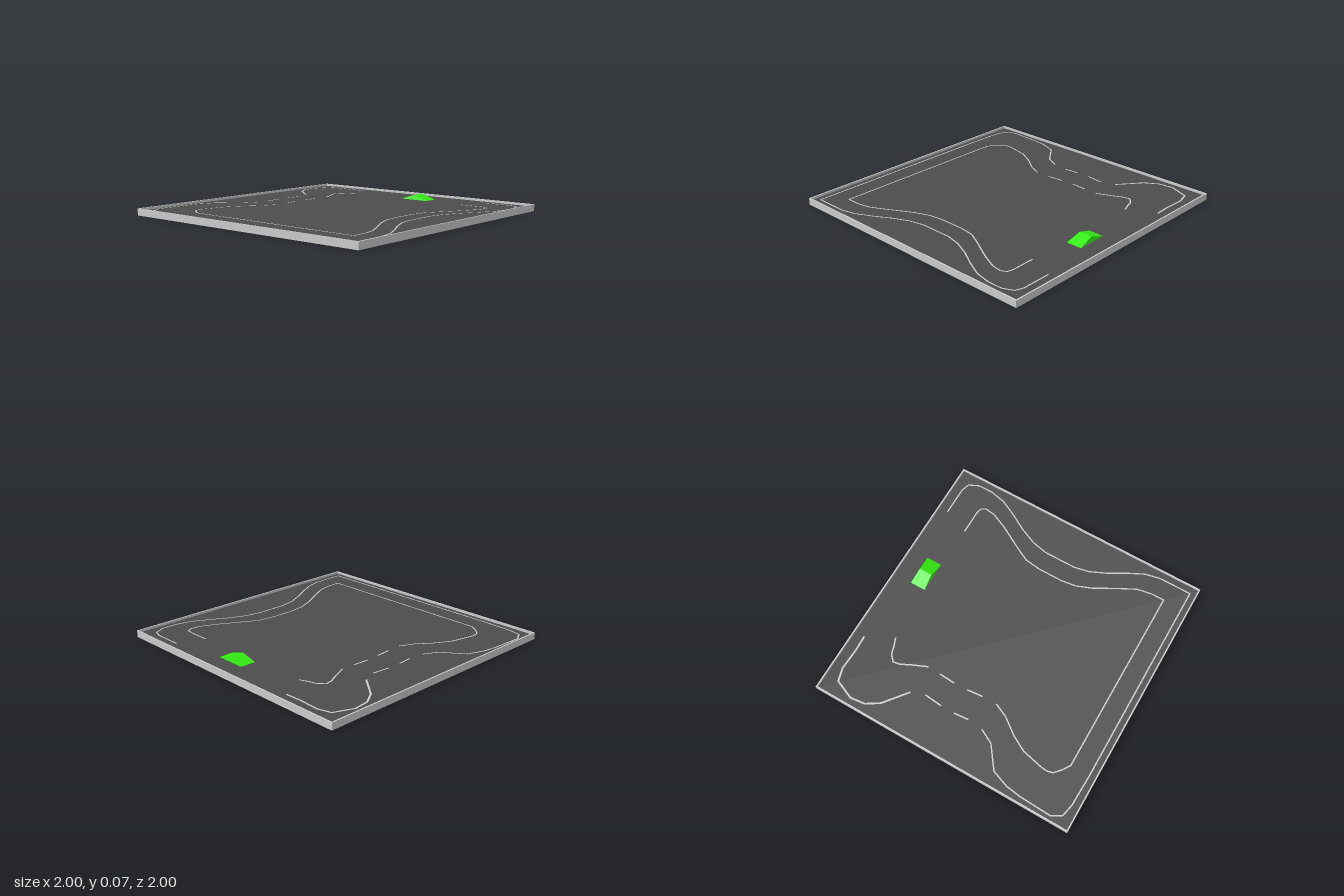
import * as THREE from 'three';

const FLOOR = 0.033, HEIGHT = 0.05, RIM = 0.01;

const material = (color, extra = {}) => new THREE.MeshStandardMaterial({ color, ...extra });

function add(parent, name, geometry, mat) {
  const mesh = new THREE.Mesh(geometry, mat);
  mesh.name = name;
  parent.add(mesh);
  return mesh;
}

// Flat mitred strip following [x, z] points along the floor
function ribbon(points, width) {
  const pts = points.map(([x, z]) => new THREE.Vector2(x, z));
  const pos = [], index = [];
  pts.forEach((p, i) => {
    const a = pts[Math.max(i - 1, 0)], b = pts[Math.min(i + 1, pts.length - 1)];
    const d1 = (i > 0 ? p.clone().sub(a) : b.clone().sub(p)).normalize();
    const d2 = (i < pts.length - 1 ? b.clone().sub(p) : d1.clone()).normalize();
    const n1 = new THREE.Vector2(-d1.y, d1.x);
    const n = n1.clone().add(new THREE.Vector2(-d2.y, d2.x)).normalize();
    n.multiplyScalar(width / 2 / n.dot(n1));
    pos.push(p.x + n.x, 0, p.y + n.y, p.x - n.x, 0, p.y - n.y);
    const k = i * 2;
    if (i < pts.length - 1) index.push(k, k + 2, k + 1, k + 1, k + 2, k + 3);
  });
  const g = new THREE.BufferGeometry();
  g.setAttribute('position', new THREE.Float32BufferAttribute(pos, 3));
  g.setIndex(index);
  g.computeVertexNormals();
  return g;
}

// Low double-sloped ramp: its gable profile is extruded and the ridge narrowed
function rampGeometry(width, length, height) {
  const half = length / 2;
  const profile = new THREE.Shape([
    new THREE.Vector2(-half, 0), new THREE.Vector2(half, 0), new THREE.Vector2(0, height),
  ]);
  const g = new THREE.ExtrudeGeometry(profile, { depth: width, bevelEnabled: false });
  g.translate(0, 0, -width / 2);
  g.rotateY(Math.PI / 2);
  const p = g.attributes.position;
  for (let i = 0; i < p.count; i++) {
    if (p.getY(i) > height / 2) p.setX(i, p.getX(i) * 0.84);
  }
  g.computeVertexNormals();
  return g;
}

export function createModel() {
  const model = new THREE.Group();
  model.name = 'trackBoard';
  const grey = material(0xcccccc);

  // Shallow tray: base slab, raised rim and dark floor
  const base = add(model, 'base', new THREE.BoxGeometry(2, FLOOR - 0.002, 2), grey);
  base.position.y = (FLOOR - 0.002) / 2;

  const square = (h) => [[-h, -h], [h, -h], [h, h], [-h, h]].map(([x, y]) => new THREE.Vector2(x, y));
  const rimShape = new THREE.Shape(square(1));
  rimShape.holes.push(new THREE.Path(square(1 - RIM)));
  const rimHeight = HEIGHT - FLOOR + 0.002;
  const rimGeometry = new THREE.ExtrudeGeometry(rimShape, { depth: rimHeight, bevelEnabled: false });
  rimGeometry.rotateX(-Math.PI / 2);
  add(model, 'rim', rimGeometry, grey).position.y = FLOOR - 0.002;

  const floor = new THREE.PlaneGeometry(2 - 2 * RIM, 2 - 2 * RIM).rotateX(-Math.PI / 2);
  add(model, 'floor', floor, material(0x4d4d4d)).position.y = FLOOR;

  // Painted lane edges
  const lanes = new THREE.Group();
  lanes.name = 'laneLines';
  lanes.position.y = FLOOR + 0.002;
  model.add(lanes);

  const outerLane = [
    [-0.155, -0.68], [-0.26, -0.735], [-0.375, -0.89], [-0.5, -0.935], [-0.61, -0.95],
    [-0.85, -0.96], [-0.92, -0.92], [-0.94, -0.83], [-0.947, -0.6], [-0.947, 0.94],
    [-0.705, 0.94], [-0.595, 0.915], [-0.475, 0.855], [-0.355, 0.785], [-0.235, 0.73],
    [-0.12, 0.705], [0.12, 0.705], [0.235, 0.73], [0.36, 0.785], [0.47, 0.85],
    [0.6, 0.915], [0.715, 0.94], [0.825, 0.94], [0.9, 0.905], [0.92, 0.845], [0.92, 0.63],
  ];
  const innerLane = [
    [-0.15, -0.475], [-0.25, -0.52], [-0.37, -0.61], [-0.48, -0.67], [-0.635, -0.705],
    [-0.68, -0.71], [-0.725, -0.7], [-0.77, -0.65], [-0.805, -0.595], [-0.805, 0.8],
    [-0.705, 0.8], [-0.6, 0.78], [-0.475, 0.715], [-0.315, 0.625], [-0.2, 0.58],
    [-0.09, 0.565], [0.095, 0.565], [0.21, 0.58], [0.3, 0.625], [0.485, 0.73],
    [0.605, 0.785], [0.68, 0.795], [0.715, 0.775], [0.725, 0.735], [0.725, 0.555],
  ];
  const outerBend = [
    [0.41, -0.7], [0.545, -0.87], [0.64, -0.93], [0.75, -0.943],
    [0.89, -0.885], [0.917, -0.79], [0.91, -0.63], [0.915, -0.515],
  ];
  const innerBend = [
    [0.4, -0.48], [0.515, -0.53], [0.585, -0.565], [0.635, -0.573],
    [0.675, -0.53], [0.693, -0.47], [0.717, -0.41],
  ];
  const dashes = [
    [[-0.04, -0.668], [0.07, -0.678]], [[0.175, -0.678], [0.31, -0.665]],
    [[-0.04, -0.477], [0.075, -0.488]], [[0.18, -0.492], [0.3, -0.485]],
  ];
  const paint = material(0xcccccc, { side: THREE.DoubleSide });
  add(lanes, 'outerLane', ribbon(outerLane, 0.01), paint);
  add(lanes, 'innerLane', ribbon(innerLane, 0.01), paint);
  add(lanes, 'outerBend', ribbon(outerBend, 0.013), paint);
  add(lanes, 'innerBend', ribbon(innerBend, 0.011), paint);
  dashes.forEach((d, i) => add(lanes, `dash${i + 1}`, ribbon(d, 0.011), paint));

  // Green ramp on the left lane
  const ramp = add(model, 'ramp', rampGeometry(0.116, 0.23, 0.07 - FLOOR),
    material(0x33ee11, { flatShading: true }));
  ramp.position.set(0.792, FLOOR, 0.12);

  return model;
}
